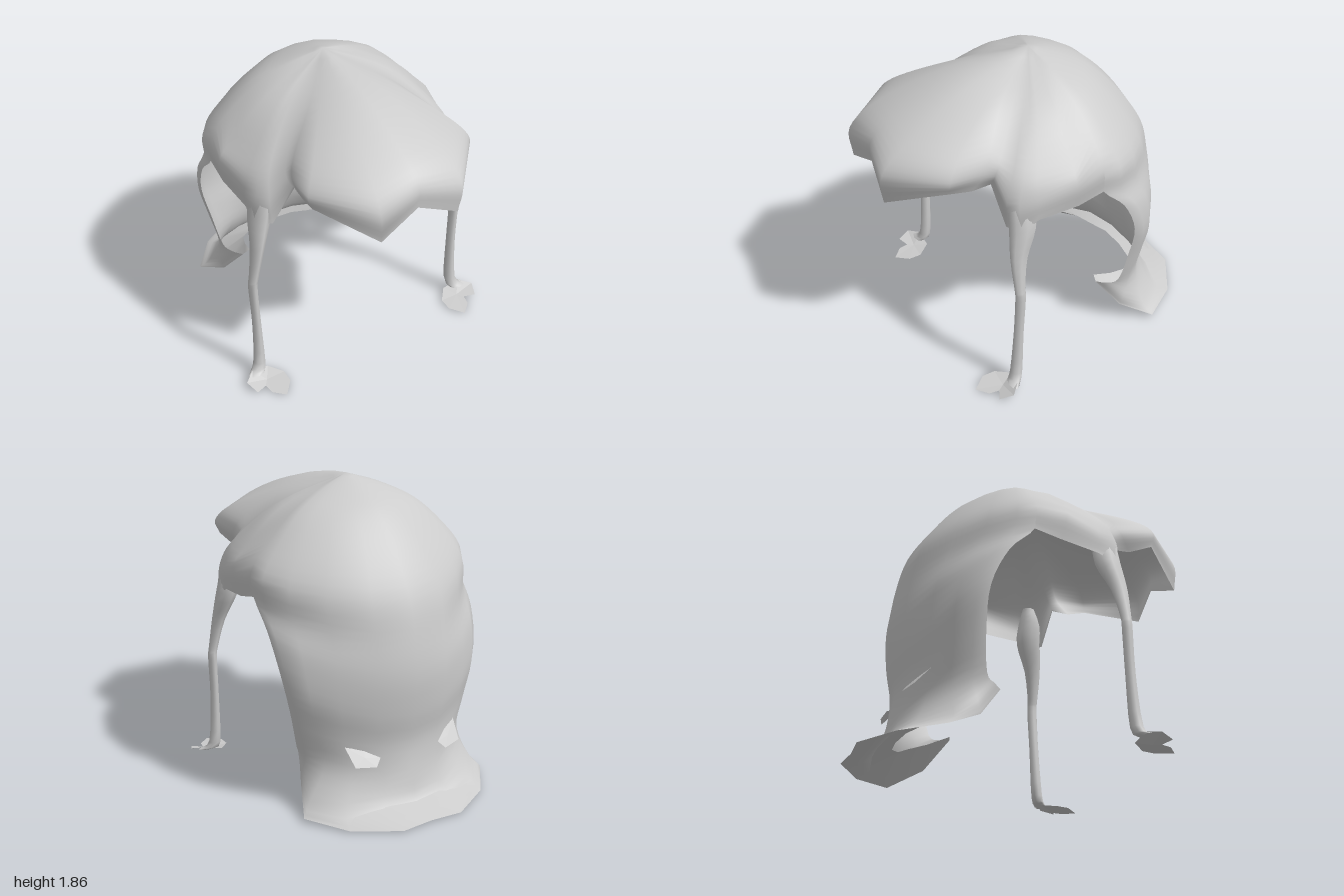
import * as THREE from 'three';
import { mergeGeometries, mergeVertices } from 'three/addons/utils/BufferGeometryUtils.js';

const CROWN = [0, 1.855, -0.03];
const mirror = (points) => points.map(([x, y, z]) => [-x, y, z]);
const bothSides = (strands) => [...strands, ...strands.slice(0, -1).reverse().map(mirror)];

// Surface through neighbouring strands; each strand is a curve from root to tip
function loft(strands, rows) {
  const pos = [], index = [], n = rows + 1;
  for (const strand of strands) {
    const curve = new THREE.CatmullRomCurve3(strand.map((p) => new THREE.Vector3(...p)), false, 'catmullrom', 0.5);
    for (let j = 0; j < n; j++) pos.push(...curve.getPoint(j / rows).toArray());
  }
  for (let i = 0; i < strands.length - 1; i++) {
    for (let j = 0; j < rows; j++) {
      const a = i * n + j, c = a + n;
      index.push(a, a + 1, c, c, a + 1, c + 1);
    }
  }
  const g = new THREE.BufferGeometry();
  g.setAttribute('position', new THREE.Float32BufferAttribute(pos, 3));
  g.setIndex(index);
  return g;
}

// Joins surfaces along shared edges with smooth normals
function smooth(...surfaces) {
  const g = mergeVertices(mergeGeometries(surfaces), 1e-4);
  g.computeVertexNormals();
  return g;
}

// Fan of triangles around a centre point
function fan(center, edge) {
  const pos = [];
  edge.forEach((p, i) => pos.push(...center, ...p, ...edge[(i + 1) % edge.length]));
  const g = new THREE.BufferGeometry();
  g.setAttribute('position', new THREE.Float32BufferAttribute(pos, 3));
  g.computeVertexNormals();
  return g;
}

export function createModel() {
  const group = new THREE.Group();
  const hair = new THREE.MeshStandardMaterial({ color: 0xcccccc, side: THREE.DoubleSide });
  hair.name = 'hairGrey';
  const add = (name, geometry) => {
    const mesh = new THREE.Mesh(geometry, hair);
    mesh.name = name;
    group.add(mesh);
  };

  // Long back: rounded levels [edge x, edge y, edge z, centre y, centre z]
  const levels = [
    [0.2, 1.79, -0.07, 1.79, -0.22], [0.4, 1.69, -0.11, 1.69, -0.4], [0.57, 1.54, -0.14, 1.5, -0.58],
    [0.69, 1.39, -0.15, 1.28, -0.72], [0.685, 1.24, -0.16, 1.05, -0.785], [0.68, 1.08, -0.31, 0.83, -0.81],
    [0.655, 0.85, -0.41, 0.6, -0.79], [0.6, 0.6, -0.415, 0.4, -0.76], [0.55, 0.37, -0.39, 0.2, -0.79],
  ];
  // How far each strand sits between side edge and centre: x share, then depth share
  const share = [[1, 0], [0.98, 0.2], [0.85, 0.45], [0.63, 0.7], [0.33, 0.93], [0, 1]];
  // Flared hem that ends each strand, from the side flap to the back centre
  const flare = [
    [[0.51, 0.33, -0.33], [0.46, 0.32, -0.28]], [[0.55, 0.2, -0.44], [0.54, 0.13, -0.42]],
    [[0.57, 0.1, -0.58], [0.63, 0.025, -0.62]], [[0.43, 0.07, -0.75], [0.46, 0.01, -0.85]],
    [[0.22, 0.06, -0.83], [0.2, 0.01, -1]], [[0, 0.06, -0.84], [0, 0.01, -0.985]],
  ];
  const back = flare.map((end, i) => {
    const [c, s] = share[i];
    return [CROWN, ...levels.map(([x, y, z, cy, cz]) => [x * c, y + (cy - y) * s, z + (cz - z) * s]), ...end];
  });

  // Fringe and sides: strands from the front centre round to the ear, joining the back
  const front = [
    [[0, 1.775, 0.42], [0, 1.62, 0.8], [0, 1.5, 0.945], [0, 1.37, 0.95]],
    [[0.13, 1.765, 0.42], [0.23, 1.6, 0.8], [0.26, 1.45, 0.98], [0.25, 1.26, 0.98]],
    [[0.24, 1.73, 0.33], [0.44, 1.59, 0.6], [0.525, 1.48, 0.695], [0.5, 1.39, 0.69]],
    [[0.26, 1.72, 0.26], [0.45, 1.56, 0.42], [0.5, 1.45, 0.48], [0.47, 1.34, 0.55]],
    [[0.28, 1.71, 0.2], [0.47, 1.51, 0.37], [0.5, 1.42, 0.42], [0.46, 1.34, 0.43]],
    [[0.32, 1.7, 0.16], [0.54, 1.48, 0.32], [0.6, 1.3, 0.4], [0.585, 1.12, 0.4]],
    [[0.34, 1.7, 0.13], [0.58, 1.47, 0.28], [0.655, 1.31, 0.35], [0.68, 1.12, 0.35]],
    [[0.36, 1.7, 0.1], [0.6, 1.46, 0.22], [0.675, 1.31, 0.25], [0.67, 1.17, 0.24]],
    [[0.4, 1.69, 0.02], [0.64, 1.47, 0.03], [0.715, 1.37, 0.03], [0.69, 1.2, 0]],
  ].map((strand) => [CROWN, ...strand]);
  front.push(back[0].slice(0, 6));
  const fringe = bothSides(front.reverse()).reverse();
  add('hairCap', smooth(loft(fringe, 20), loft(bothSides(back), 44)));

  // Underside of the flared hem, rolled inwards
  const inner = [[0.4, 0.32, -0.3], [0.36, 0.24, -0.45], [0.31, 0.18, -0.58], [0.24, 0.13, -0.66], [0.15, 0.11, -0.72], [0, 0.1, -0.74]];
  add('hemUnderside', smooth(loft(bothSides(flare.map((end, i) => [end[1], inner[i]])), 2)));

  // Thin side locks: cross-sections [x, y, z, half width, half depth]
  const rings = [
    [0.575, 1.38, 0.3, 0.03, 0.04], [0.6, 1.28, 0.315, 0.055, 0.075], [0.632, 1.13, 0.32, 0.06, 0.085],
    [0.675, 0.95, 0.365, 0.036, 0.055], [0.713, 0.76, 0.38, 0.027, 0.034], [0.722, 0.68, 0.38, 0.027, 0.034],
    [0.715, 0.4, 0.39, 0.027, 0.032], [0.72, 0.1, 0.41, 0.038, 0.038], [0.76, 0.045, 0.45, 0.055, 0.03],
  ];
  const lock = Array.from({ length: 9 }, (_, i) => {
    const a = (i / 8) * Math.PI * 2;
    return rings.map(([x, y, z, w, d]) => [x + Math.sin(a) * w, y, z + Math.cos(a) * d]);
  });
  // Curled leaf-shaped tip of each lock, counter-clockwise from above
  const tip = [[0.6, 0.015, 0.5], [0.6, 0.01, 0.58], [0.67, 0, 0.66], [0.74, 0.005, 0.6], [0.75, 0.01, 0.54],
    [0.82, 0.02, 0.57], [0.85, 0.045, 0.49], [0.78, 0.06, 0.43], [0.67, 0.03, 0.42]];
  // Small tuft poking through the back
  const tuft = [[0.2, 0.36, -0.75], [0.24, 0.32, -0.775], [0.36, 0.33, -0.74], [0.38, 0.43, -0.65], [0.28, 0.4, -0.7]];

  add('leftSideLock', smooth(loft(lock, 24)));
  add('rightSideLock', smooth(loft(lock.map(mirror).reverse(), 24)));
  add('leftLockTip', fan([0.72, 0.012, 0.5], tip));
  add('rightLockTip', fan([-0.72, 0.012, 0.5], mirror(tip).reverse()));
  add('leftBackTuft', fan([0.29, 0.37, -0.725], tuft));
  add('rightBackTuft', fan([-0.29, 0.37, -0.725], mirror(tuft).reverse()));
  return group;
}
